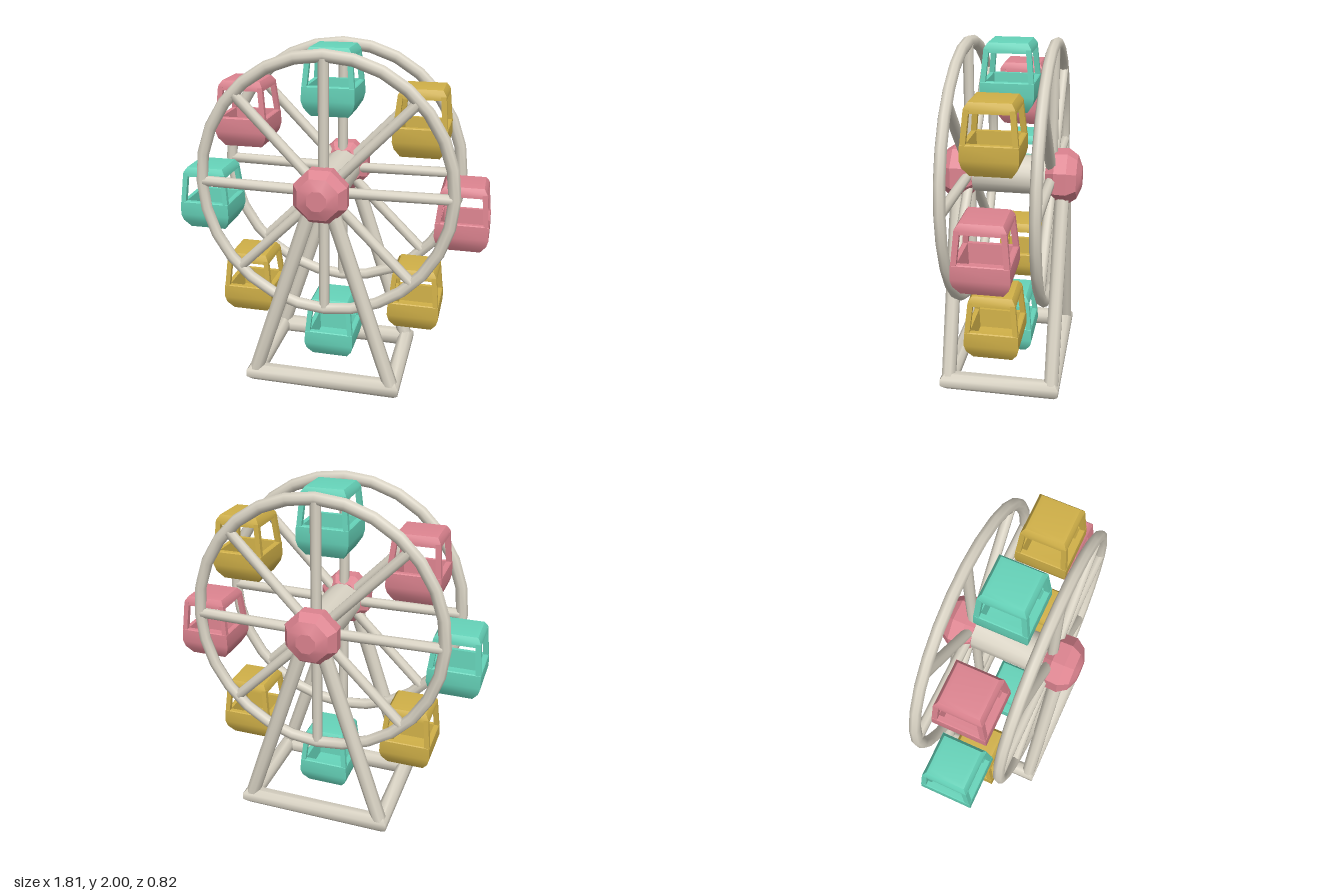
import * as THREE from 'three';
import { toCreasedNormals } from 'three/addons/utils/BufferGeometryUtils.js';

const material = (name, color) => {
  const m = new THREE.MeshStandardMaterial({ color });
  m.name = name;
  return m;
};

function part(name, geometry, mat, parent) {
  const mesh = new THREE.Mesh(geometry, mat);
  mesh.name = name;
  parent.add(mesh);
  return mesh;
}

// Straight bar from a to b, with flats facing the axes
function bar(name, a, b, radius, sides, mat, parent) {
  const from = new THREE.Vector3(...a), to = new THREE.Vector3(...b);
  const dir = to.clone().sub(from);
  const geo = new THREE.CylinderGeometry(radius, radius, dir.length(), sides);
  geo.rotateY(Math.PI / sides);
  const mesh = part(name, toCreasedNormals(geo, 1), mat, parent);
  mesh.position.copy(from).add(to).multiplyScalar(0.5);
  mesh.quaternion.setFromUnitVectors(new THREE.Vector3(0, 1, 0), dir.normalize());
  return mesh;
}

// Square or round solid turned from a half profile
function turned(profile, sides, crease) {
  const k = 1 / Math.cos(Math.PI / sides);
  const pts = profile.map(([r, y]) => new THREE.Vector2(r * k, y));
  return toCreasedNormals(new THREE.LatheGeometry(pts, sides, Math.PI / sides), crease);
}

// Rectangular floor frame: an octagonal section swept round mitred corners
function frameGeometry(cx, cz, halfW, halfH) {
  const pos = [], index = [], n = 8;
  for (const [sx, sz] of [[1, 1], [1, -1], [-1, -1], [-1, 1]]) {
    for (let k = 0; k < n; k++) {
      const t = ((k + 0.5) / n) * Math.PI * 2, s = 1 / Math.cos(Math.PI / n);
      const a = Math.cos(t) * halfW * s, b = Math.sin(t) * halfH * s;
      pos.push(sx * (cx + a), halfH + b, sz * (cz + a));
    }
  }
  for (let i = 0; i < 4; i++) {
    for (let k = 0; k < n; k++) {
      const j = (i + 1) % 4, l = (k + 1) % n;
      const p = i * n + k, q = j * n + k, r = j * n + l, s = i * n + l;
      index.push(p, q, r, p, r, s);
    }
  }
  const geo = new THREE.BufferGeometry();
  geo.setAttribute('position', new THREE.Float32BufferAttribute(pos, 3));
  geo.setIndex(index);
  return toCreasedNormals(geo, 1);
}

export function createModel() {
  const cream = material('cream', 0xd9d3c4);
  const pink = material('pink', 0xdd8490);
  const teal = material('teal', 0x66d4ba);
  const gold = material('gold', 0xd0b048);
  const model = new THREE.Group();
  model.name = 'ferrisWheel';
  const hubY = 1.22;

  // Stand: floor frame and two leaning legs on each side
  const stand = new THREE.Group();
  stand.name = 'stand';
  model.add(stand);
  part('floorFrame', frameGeometry(0.417, 0.304, 0.045, 0.052), cream, stand);
  for (const z of [-0.304, 0.304]) {
    for (const s of [-1, 1]) {
      bar('leg', [s * 0.415, 0.06, z], [s * 0.04, 1.2, z], 0.043, 8, cream, stand);
    }
  }

  // Wheel: axle, then rim, spokes and hub on each side
  const wheel = new THREE.Group();
  wheel.name = 'wheel';
  model.add(wheel);
  bar('axle', [0, hubY, -0.26], [0, hubY, 0.26], 0.113, 12, cream, wheel);

  const hubGeo = turned([[0, 0.21], [0.11, 0.21], [0.147, 0.26], [0.15, 0.33],
    [0.115, 0.385], [0.055, 0.412], [0, 0.412]], 8, 0.4);
  for (const side of [-1, 1]) {
    const z = side * 0.24;
    const rim = part('rim', new THREE.TorusGeometry(0.73, 0.035, 8, 28), cream, wheel);
    rim.position.set(0, 1.23, z);
    rim.scale.set(0.98, 1.005, 0.9);
    for (let i = 0; i < 8; i++) {
      const a = (i * Math.PI) / 4;
      bar('spoke', [0, hubY, z],
        [Math.cos(a) * 0.71, hubY + 0.01 + Math.sin(a) * 0.72, z], 0.03, 8, cream, wheel);
    }
    const hub = part('hub', hubGeo, pink, wheel);
    hub.position.y = hubY;
    hub.rotation.x = (side * Math.PI) / 2;
  }

  // Cabins: open tub, four corner posts and a domed roof
  const tubGeo = turned([[0, 0], [0.108, 0], [0.14, 0.05], [0.15, 0.09], [0.147, 0.165],
    [0.142, 0.17], [0.118, 0.17], [0.112, 0.06], [0, 0.05]], 4, 0.6);
  const roofGeo = turned([[0, 0.35], [0.095, 0.35], [0.103, 0.33], [0.128, 0.322],
    [0.126, 0.348], [0.108, 0.374], [0.085, 0.378], [0, 0.376]], 4, 0.6);
  const cabins = [
    [0, 1.61, teal], [0.505, 1.41, gold], [0.755, 0.885, pink], [0.505, 0.36, gold],
    [0, 0.105, teal], [-0.505, 0.36, gold], [-0.755, 0.885, teal], [-0.505, 1.41, pink],
  ];
  for (const [x, y, mat] of cabins) {
    const cabin = new THREE.Group();
    cabin.name = 'cabin';
    cabin.position.set(x, y, 0);
    model.add(cabin);
    part('tub', tubGeo, mat, cabin);
    part('roof', roofGeo, mat, cabin);
    for (const sx of [-1, 1]) {
      for (const sz of [-1, 1]) {
        bar('post', [sx * 0.132, 0.16, sz * 0.132], [sx * 0.114, 0.34, sz * 0.114],
          0.02, 4, mat, cabin);
      }
    }
  }
  return model;
}
